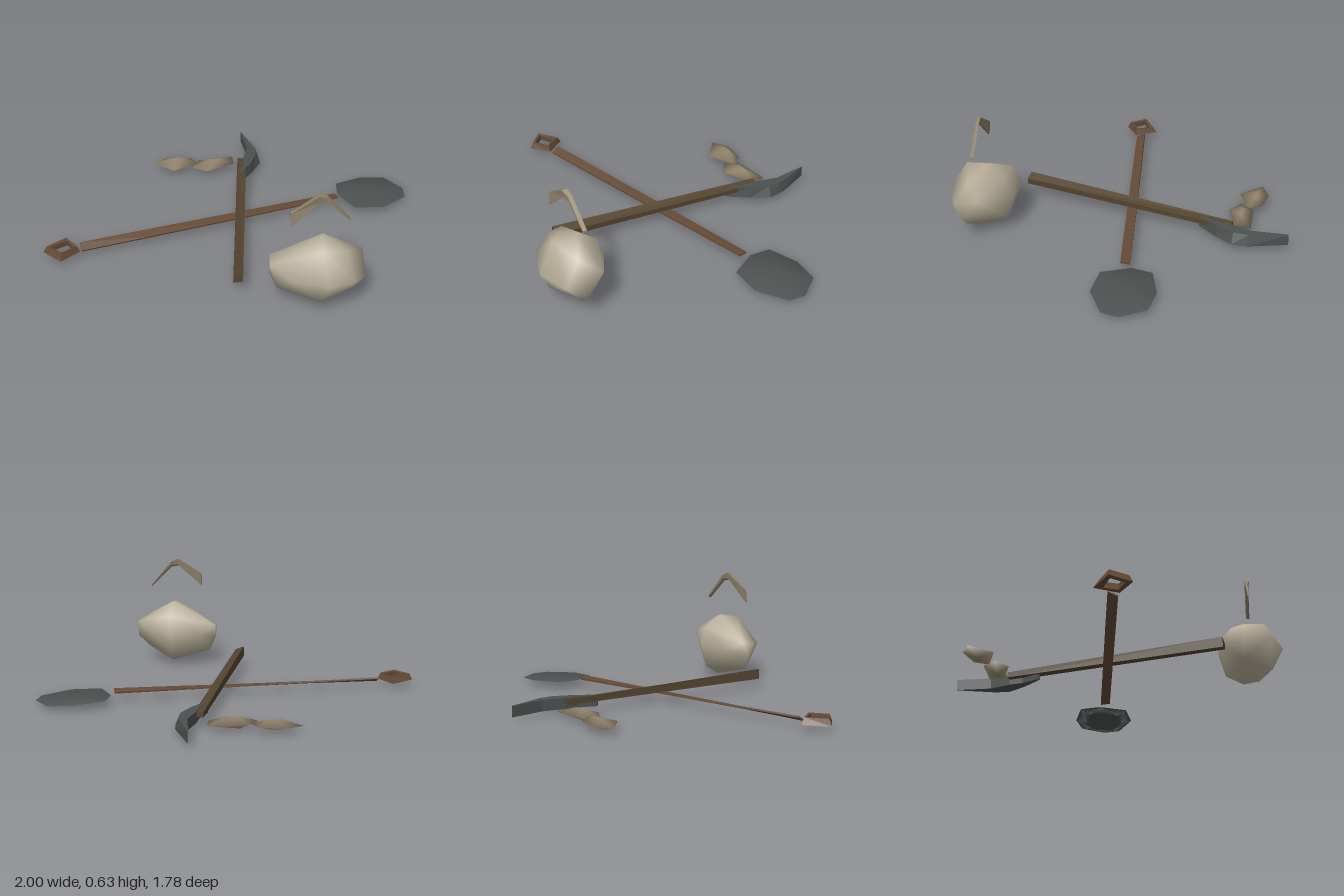
import * as THREE from 'three';
import { mergeVertices } from 'three/addons/utils/BufferGeometryUtils.js';
import { ConvexGeometry } from 'three/addons/geometries/ConvexGeometry.js';

function material(name, color) {
  const m = new THREE.MeshStandardMaterial({ color });
  m.name = name;
  return m;
}

// Convex low-poly lump with smooth normals
function lump(points) {
  let g = new ConvexGeometry(points.map((p) => new THREE.Vector3(...p)));
  g.deleteAttribute('normal');
  g = mergeVertices(g, 1e-4);
  g.computeVertexNormals();
  return g;
}

// Skin over matching cross-sections, closed as a loop or capped at both ends
function loft(sections, loop = false) {
  const n = sections[0].length, count = sections.length, pos = [];
  const tri = (a, b, c) => pos.push(...a, ...b, ...c);
  for (let i = 0; i < (loop ? count : count - 1); i++) {
    const s = sections[i], t = sections[(i + 1) % count];
    for (let j = 0; j < n; j++) {
      const k = (j + 1) % n;
      tri(s[j], t[j], t[k]);
      tri(s[j], t[k], s[k]);
    }
  }
  if (!loop) {
    const a = sections[0], b = sections[count - 1];
    for (let j = 1; j < n - 1; j++) {
      tri(a[0], a[j], a[j + 1]);
      tri(b[0], b[j + 1], b[j]);
    }
  }
  const g = new THREE.BufferGeometry();
  g.setAttribute('position', new THREE.Float32BufferAttribute(pos, 3));
  g.computeVertexNormals();
  return g;
}

export function createModel() {
  const group = new THREE.Group();
  const wood = material('brown wood', 0x654b36);
  const oldWood = material('olive wood', 0x544530);
  const metal = material('dark metal', 0x4b5150);
  const cloth = material('pale sackcloth', 0xb9b09b);
  const stone = material('tan stone', 0x94866e);
  const strap = material('tan strap', 0x8d8068);
  for (const m of [wood, oldWood, metal, strap]) m.side = THREE.DoubleSide;
  const add = (name, geometry, mat) => {
    const mesh = new THREE.Mesh(geometry, mat);
    mesh.name = name;
    group.add(mesh);
  };

  // Shovel shaft: a flat bar that twists along its length
  const start = new THREE.Vector3(-0.8, 0.046, 0.317);
  const end = new THREE.Vector3(0.6, 0.056, -0.195);
  const side = new THREE.Vector3(0.344, 0, 0.939);
  const bar = [];
  for (let i = 0; i <= 4; i++) {
    const c = start.clone().lerp(end, i / 4);
    const a = THREE.MathUtils.degToRad(28 - 9 * i);
    const w = side.clone().multiplyScalar(Math.cos(a)).setY(-Math.sin(a));
    const up = side.clone().multiplyScalar(Math.sin(a)).setY(Math.cos(a));
    bar.push([[1, 1], [1, -1], [-1, -1], [-1, 1]].map(([u, v]) =>
      c.clone().addScaledVector(w, u * 0.026).addScaledVector(up, v * 0.005).toArray()));
  }
  add('shovelShaft', loft(bar), wood);

  // Shovel grip: angular ring, wide at the bottom and narrow at the top
  const outer = [[-0.89, 0.25], [-0.8, 0.35], [-0.89, 0.445], [-0.995, 0.36]];
  const inner = [[-0.875, 0.295], [-0.832, 0.355], [-0.892, 0.408], [-0.958, 0.355]];
  add('shovelGrip', loft(outer.map(([x, z], i) => {
    const [u, v] = inner[i];
    return [[x, 0.04, z], [(x + u) / 2, 0.076, (z + v) / 2], [u, 0.072, v], [u, 0.04, v]];
  }), true), wood);

  // Shovel blade: thin shallow plate sloping down to its far end
  const blade = [[0.61, -0.35], [0.76, -0.435], [0.9, -0.445], [1, -0.335],
    [1, -0.24], [0.865, -0.12], [0.7, -0.1], [0.61, -0.235]];
  const slope = (x) => 0.043 - (x - 0.61) * 0.05;
  add('shovelBlade', lump([
    ...blade.map(([x, z]) => [x, slope(x), z]),
    ...blade.map(([x, z]) => [0.8 + (x - 0.8) * 0.6, slope(x) - 0.014, -0.27 + (z + 0.27) * 0.6]),
    [0.78, 0.042, -0.3],
  ]), metal);

  // Pick shaft: tapered four-sided bar
  add('pickShaft', loft([
    [[0.02, 0.12, 0.65], [0.018, 0.062, 0.65], [0.066, 0.066, 0.65], [0.069, 0.1, 0.65]],
    [[0.033, 0.085, -0.575], [0.033, 0.055, -0.575], [0.085, 0.055, -0.575], [0.085, 0.078, -0.575]],
  ]), oldWood);

  // Pick head: curved blade, narrower along the top
  add('pickHead', loft([
    [0.05, 0.055, -0.89, -0.89], [0.09, 0.155, -0.7, -0.695], [0.07, 0.17, -0.58, -0.615],
    [0.07, 0.125, -0.5, -0.51], [0.043, 0.055, -0.4, -0.39],
  ].map(([xi, xo, zi, zo]) => [
    [xi, 0.086, zi], [xi + (xo - xi) * 0.75, 0.086, zo], [xo, 0.025, zo], [xi, 0.025, zi],
  ])), metal);

  // Sack body
  add('sack', lump([
    [0.2, 0.245, 0.66], [0.2, 0.23, 0.73], [0.2, 0.16, 0.7], [0.27, 0.2, 0.57],
    [0.45, 0.2, 0.53], [0.665, 0.26, 0.62], [0.685, 0.15, 0.71], [0.62, 0.18, 0.8],
    [0.49, 0.21, 0.888], [0.31, 0.21, 0.845], [0.46, 0.38, 0.67], [0.45, 0.357, 0.8],
    [0.46, 0.31, 0.57], [0.33, 0.31, 0.72], [0.58, 0.31, 0.72], [0.46, 0.015, 0.66],
    [0.24, 0.075, 0.71], [0.62, 0.085, 0.72], [0.45, 0.08, 0.83], [0.45, 0.07, 0.565],
  ]), cloth);

  // Sack strap: bent band floating over the sack
  add('sackStrap', loft([
    [[0.295, 0.545, 0.735], [0.295, 0.54, 0.745], [0.295, 0.465, 0.755], [0.297, 0.47, 0.742]],
    [[0.435, 0.635, 0.705], [0.43, 0.63, 0.73], [0.43, 0.592, 0.725], [0.435, 0.6, 0.71]],
    [[0.47, 0.62, 0.695], [0.47, 0.615, 0.715], [0.475, 0.585, 0.715], [0.475, 0.595, 0.7]],
    [[0.588, 0.48, 0.67], [0.588, 0.475, 0.69], [0.59, 0.468, 0.69], [0.59, 0.47, 0.672]],
  ]), strap);

  // Two flat stones with a pointed top and bottom
  const stones = [
    [[-0.475, -0.58], [-0.39, -0.645], [-0.255, -0.645], [-0.2, -0.58], [-0.345, -0.49]],
    [[-0.235, -0.53], [-0.2, -0.615], [0, -0.665], [0.01, -0.58], [-0.145, -0.49]],
  ];
  stones.forEach((rim, i) => {
    const cx = i ? -0.12 : -0.335, cz = i ? -0.575 : -0.59;
    add(i ? 'rightStone' : 'leftStone', lump([
      ...rim.map(([x, z]) => [x, 0.04, z]),
      [cx - 0.02, 0.072, cz], [cx + 0.04, 0.07, cz - 0.01],
      [cx - 0.03, i ? 0 : 0.012, cz + 0.02], [cx + 0.03, 0.015, cz],
    ]), stone);
  });

  return group;
}
